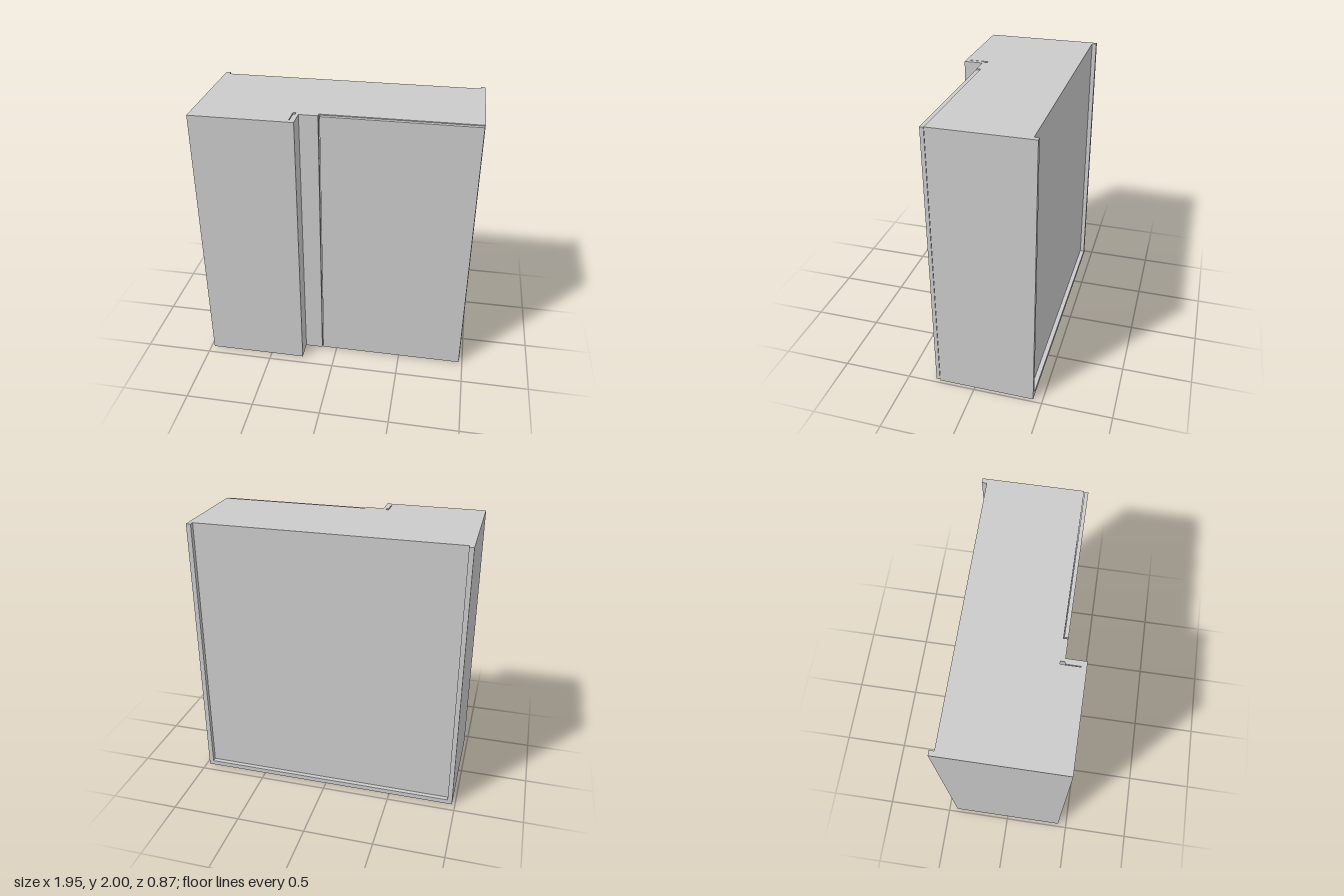
import * as THREE from 'three';

const material = new THREE.MeshStandardMaterial({ color: 0xcccccc, flatShading: true });

// Outer half width, half depth, board thickness and the planes of the stepped front
const W = 0.977, D = 0.433, T = 0.034, H = 2;
const BACK = -0.4, STEP = 0.265, DOOR = 0.295, FRONT = 0.4, CORNER = -0.291;

export function createModel() {
  const cabinet = new THREE.Group();
  cabinet.name = 'cornerCabinet';

  // Board given by its limits along x, y and z
  const board = (name, x0, x1, y0, y1, z0, z1) => {
    const mesh = new THREE.Mesh(new THREE.BoxGeometry(x1 - x0, y1 - y0, z1 - z0), material);
    mesh.position.set((x0 + x1) / 2, (y0 + y1) / 2, (z0 + z1) / 2);
    mesh.name = name;
    cabinet.add(mesh);
  };

  // Horizontal board with the L-shaped plan of the carcass
  const steppedBoard = (name, y, thickness, back) => {
    const plan = [
      [-W + T, back], [W - T, back], [W - T, STEP],
      [CORNER, STEP], [CORNER, FRONT], [-W + T, FRONT],
    ].map(([x, z]) => new THREE.Vector2(x, -z));
    const geometry = new THREE.ExtrudeGeometry(new THREE.Shape(plan.reverse()), {
      depth: thickness, bevelEnabled: false,
    });
    geometry.rotateX(-Math.PI / 2);
    const mesh = new THREE.Mesh(geometry, material);
    mesh.position.y = y;
    mesh.name = name;
    cabinet.add(mesh);
  };

  // Carcass: the sides and bottom run past the recessed back
  board('rightSide', -W, -W + T, 0, H, -D, FRONT);
  board('leftSide', W - T, W, 0, H, -D, STEP);
  steppedBoard('bottom', 0, T, -D);
  steppedBoard('top', H - T, T, BACK);
  board('backPanel', -W + 0.012, W - 0.012, T, H, BACK, BACK + 0.015);
  for (const y of [0.667, 1.333]) steppedBoard('shelf', y - T / 2, T, BACK + 0.015);

  // Projecting fixed front
  board('fixedFront', -W, -0.248, 0, H, FRONT, D);

  // Corner filler, leaving a slot behind its return
  board('fillerReturn', CORNER + 0.005, -0.248, 0, H, DOOR, FRONT);
  board('fillerFront', -0.27, -0.116, 0, H, STEP, DOOR);

  // Door with a narrow reveal all round
  board('door', -0.106, W - 0.004, 0.005, H - 0.005, STEP + 0.004, DOOR);

  return cabinet;
}
